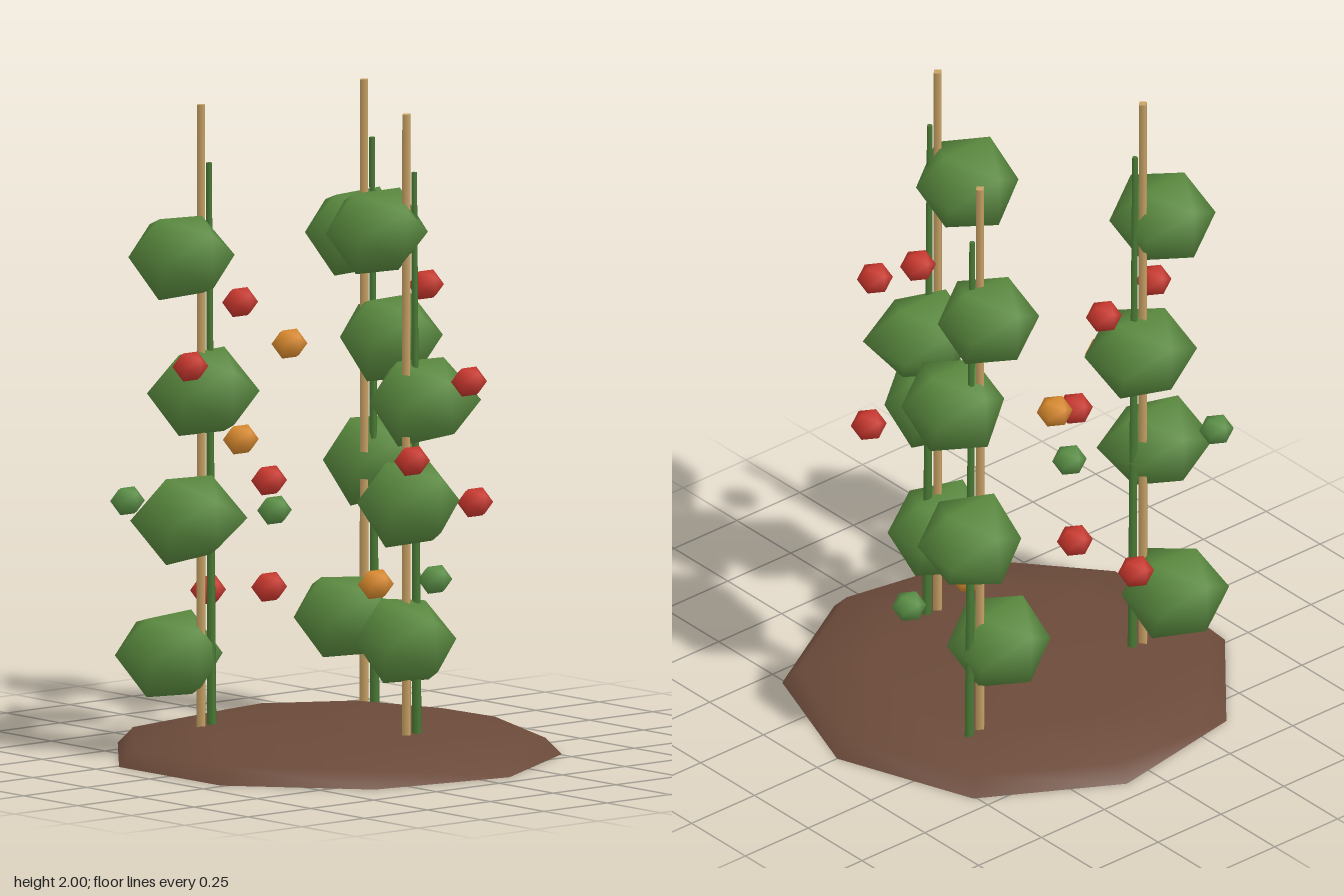
import * as THREE from 'three';
import { mergeVertices } from 'three/addons/utils/BufferGeometryUtils.js';

const mat = (name, color, side = THREE.FrontSide) => {
  const m = new THREE.MeshStandardMaterial({ color, side });
  m.name = name;
  return m;
};

// Small seeded generator for the uneven foliage
function seeded(seed) {
  let s = seed;
  return () => {
    s = (s * 16807) % 2147483647;
    return s / 2147483647;
  };
}

// Smooth-shaded icosahedron, with its corners pushed in and out by a seeded amount
function blob(rx, ry, rz, jitter = 0, rand = () => 0.5) {
  const raw = new THREE.IcosahedronGeometry(1, 0);
  raw.deleteAttribute('normal');
  raw.deleteAttribute('uv');
  const geo = mergeVertices(raw, 1e-3);
  const p = geo.attributes.position;
  for (let i = 0; i < p.count; i++) {
    const k = 1 + (rand() - 0.5) * jitter;
    p.setXYZ(i, p.getX(i) * rx * k, p.getY(i) * ry * k, p.getZ(i) * rz * k);
  }
  geo.computeVertexNormals();
  return geo;
}

export function createModel() {
  const model = new THREE.Group();
  const soil = mat('soil brown', 0x6b4a3a);
  const cane = mat('cane tan', 0xc8a265);
  const stem = mat('stem green', 0x4a7a35);
  const leaf = mat('leaf green', 0x5a8a3f);
  const unripe = mat('unripe green', 0x5a8f45);
  const ripe = mat('ripe red', 0xc8372d);
  const turning = mat('turning orange', 0xd98a2e);

  const add = (name, geo, material, x = 0, y = 0, z = 0) => {
    const mesh = new THREE.Mesh(geo, material);
    mesh.name = name;
    mesh.position.set(x, y, z);
    model.add(mesh);
    return mesh;
  };

  // Nine-sided earth mound with a flat underside
  const profile = [[0.691, 0], [0.642, 0.05], [0.43, 0.098], [0, 0.116]]
    .map(([r, y]) => new THREE.Vector2(r, y));
  add('soilMound', new THREE.LatheGeometry(profile, 9, Math.PI / 2), soil, -0.02);
  add('soilBase', new THREE.CircleGeometry(0.691, 9).rotateX(Math.PI / 2), soil, -0.02);

  // Canes, each with a climbing stem leaning slightly towards it
  const canes = [[-0.37, -0.205], [0.325, -0.26], [-0.02, 0.34]];
  for (const [x, z] of canes) {
    add('cane', new THREE.CylinderGeometry(0.016, 0.018, 1.95, 4).toNonIndexed(), cane, x, 1.025, z);
    const path = new THREE.LineCurve3(
      new THREE.Vector3(x + 0.043, 0.05, z),
      new THREE.Vector3(x + 0.029, 1.82, z + 0.003));
    const vine = new THREE.CylinderGeometry(0.009, 0.015, path.getLength(), 5);
    const mid = path.getPoint(0.5);
    add('stem', vine, stem, mid.x, mid.y, mid.z)
      .quaternion.setFromUnitVectors(new THREE.Vector3(0, 1, 0), path.getTangent(0));
  }

  // Leaf clumps spiralling up the canes
  const clumps = [
    [-0.47, 1.55, -0.18], [-0.37, 1.12, -0.205], [-0.455, 0.745, -0.16], [-0.41, 0.31, -0.31],
    [0.31, 1.535, -0.275], [0.36, 1.22, -0.18], [0.425, 0.82, -0.33], [0.245, 0.365, -0.26],
    [-0.06, 1.63, 0.25], [0.065, 1.11, 0.31], [-0.03, 0.82, 0.365], [-0.015, 0.39, 0.33],
  ];
  const rand = seeded(4217);
  for (const [x, y, z] of clumps) {
    add('leafClump', blob(0.167, 0.146, 0.167, 0.2, rand), leaf, x, y, z);
  }

  // Fruit hanging around the canes
  const fruits = [
    ['ripeFruit', ripe, 0.055, [
      [-0.545, 1.235, -0.05], [-0.155, 1.365, -0.275], [0.165, 1.445, 0.215],
      [0.05, 1.2, 0.55], [-0.155, 0.975, 0.525], [-0.275, 0.865, 0], [0.19, 0.8, 0.415],
      [-0.21, 0.48, -0.36], [-0.155, 0.51, -0.14]]],
    ['turningFruit', turning, 0.055, [
      [0.135, 1.195, -0.385], [-0.4, 1.005, 0.015], [0.205, 0.49, -0.065]]],
    ['unripeFruit', unripe, 0.053, [
      [-0.59, 0.8, -0.29], [-0.185, 0.755, -0.08], [0.442, 0.48, -0.067]]],
  ];
  for (const [name, material, r, spots] of fruits) {
    const geo = blob(r, r * 0.92, r);
    for (const [x, y, z] of spots) add(name, geo, material, x, y, z);
  }

  return model;
}
